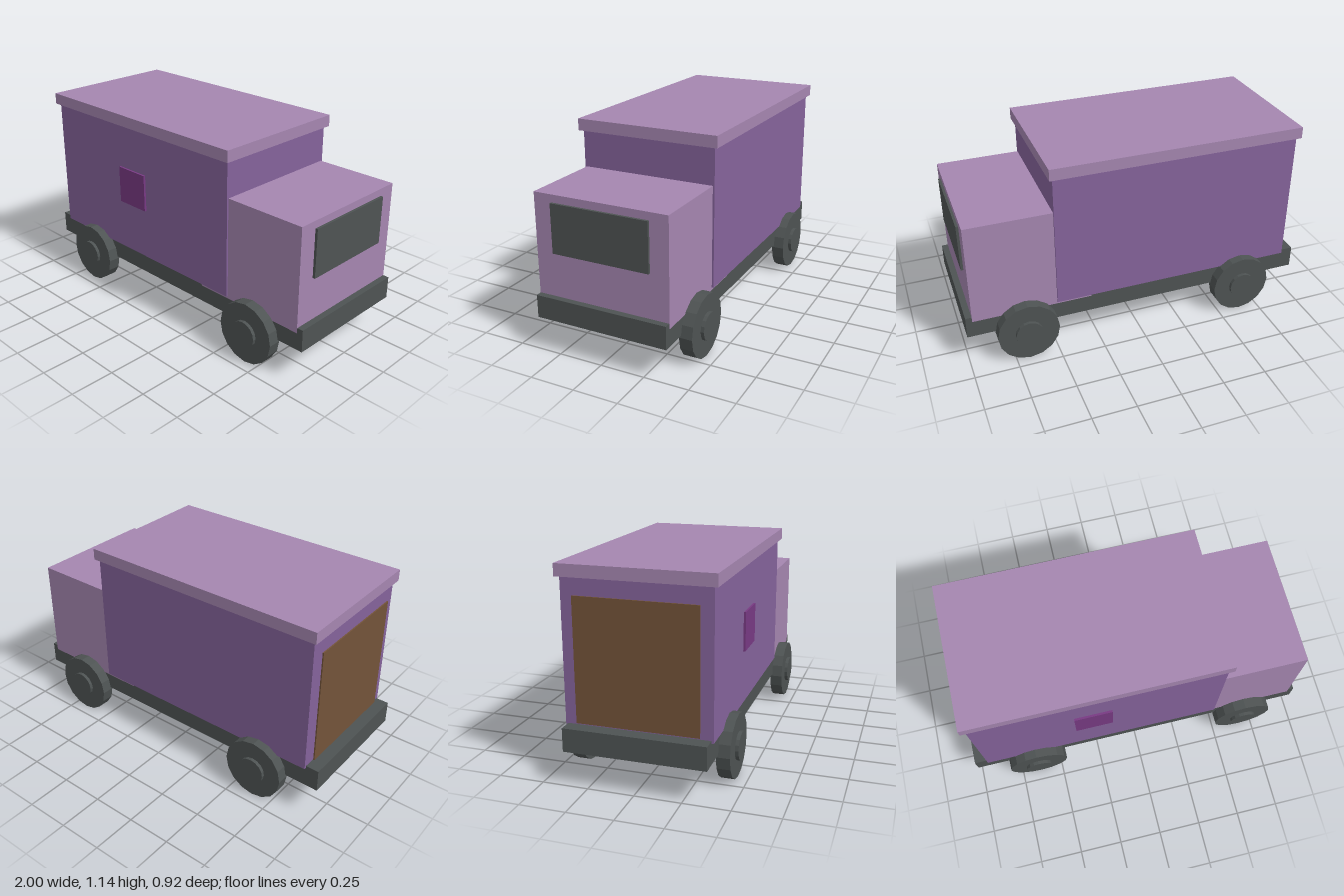
import * as THREE from 'three';

const mat = (name, color) => {
  const m = new THREE.MeshStandardMaterial({ color });
  m.name = name;
  return m;
};

export function createModel() {
  const truck = new THREE.Group();
  truck.name = 'boxTruck';

  const lilac = mat('lilac', 0xa586b0);
  const purple = mat('purple', 0x85639b);
  const plum = mat('plum', 0x783a83);
  const charcoal = mat('charcoal', 0x4e5353);
  const brown = mat('brown', 0x735339);

  // Box given by its extents on each axis
  const box = (name, material, [x0, x1], [y0, y1], [z0, z1]) => {
    const mesh = new THREE.Mesh(new THREE.BoxGeometry(x1 - x0, y1 - y0, z1 - z0), material);
    mesh.position.set((x0 + x1) / 2, (y0 + y1) / 2, (z0 + z1) / 2);
    mesh.name = name;
    truck.add(mesh);
  };

  // Main bodywork
  box('chassis', charcoal, [-1, 1], [0.187, 0.314], [-0.379, 0.379]);
  box('cab', lilac, [0.29, 0.965], [0.285, 0.87], [-0.381, 0.381]);
  box('cargoBody', purple, [-0.925, 0.488], [0.3, 1.075], [-0.391, 0.391]);
  box('roof', lilac, [-0.945, 0.508], [1.075, 1.14], [-0.412, 0.412]);

  // Windscreen, rear door and side panel
  box('windscreen', charcoal, [0.965, 0.979], [0.558, 0.828], [-0.277, 0.277]);
  box('rearDoor', brown, [-0.941, -0.934], [0.325, 0.985], [-0.325, 0.325]);
  box('sidePanel', plum, [-0.365, -0.15], [0.6, 0.817], [0.391, 0.403]);

  // Wheels with raised hubs, mirrored on both sides
  const disc = (name, parent, radius, depth, z) => {
    const geometry = new THREE.CylinderGeometry(radius, radius, depth, 16).toNonIndexed();
    geometry.rotateX(Math.PI / 2);
    geometry.computeVertexNormals();
    const mesh = new THREE.Mesh(geometry, charcoal);
    mesh.position.z = z;
    mesh.name = name;
    parent.add(mesh);
  };
  for (const [end, x] of [['rear', -0.633], ['front', 0.67]]) {
    for (const side of [1, -1]) {
      const wheel = new THREE.Group();
      wheel.name = end + (side > 0 ? 'LeftWheel' : 'RightWheel');
      wheel.position.set(x, 0.175, 0);
      disc('tyre', wheel, 0.175, 0.073, side * 0.4045);
      disc('hub', wheel, 0.077, 0.08, side * 0.42);
      truck.add(wheel);
    }
  }
  return truck;
}
